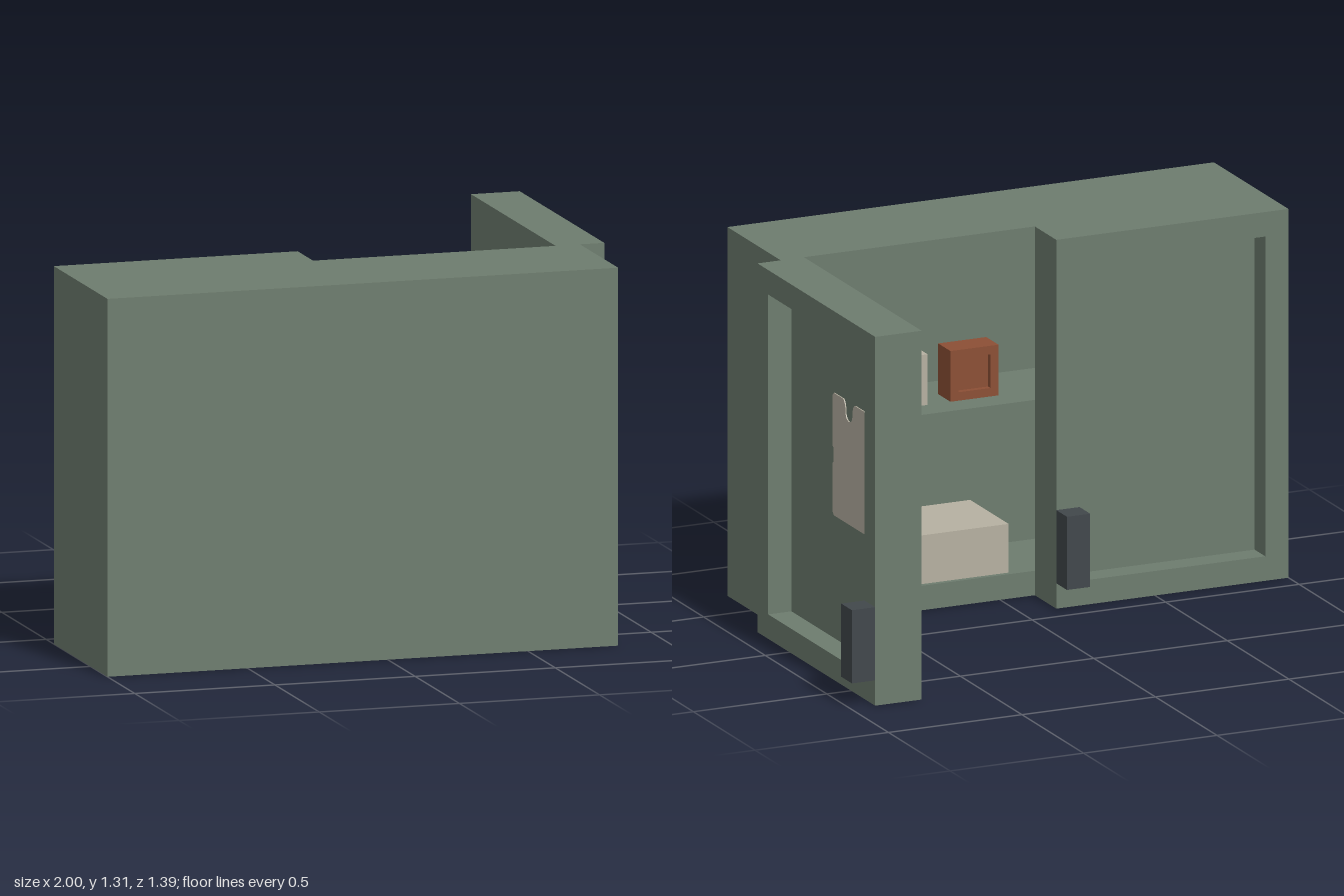
import * as THREE from 'three';

const H = 1.31, T = 0.087; // cabinet height, board thickness

export function createModel() {
  const root = new THREE.Group();
  root.name = 'cabinet';
  const mat = (name, color) => new THREE.MeshStandardMaterial({ name, color });
  const green = mat('sage green', 0x6d7c6e);
  const dark = mat('charcoal', 0x41474b);
  const beige = mat('warm beige', 0xb6b0a1);
  const rust = mat('rust brown', 0x8c4f35);

  const add = (parent, name, geo, material) => {
    const m = new THREE.Mesh(geo, material);
    m.name = name;
    parent.add(m);
    return m;
  };
  // Box given by its minimum and maximum corners
  const box = (parent, name, a, b, material) => {
    const g = new THREE.BoxGeometry(b[0] - a[0], b[1] - a[1], b[2] - a[2]);
    g.translate((a[0] + b[0]) / 2, (a[1] + b[1]) / 2, (a[2] + b[2]) / 2);
    return add(parent, name, g, material);
  };
  const rect = (path, x0, y0, x1, y1) =>
    path.moveTo(x0, y0).lineTo(x1, y0).lineTo(x1, y1).lineTo(x0, y1).closePath();
  // Rectangular frame in the xy plane, from z = 0 to the given depth
  const frame = (w, h, bx, by, depth) => {
    const s = rect(new THREE.Shape(), 0, 0, w, h);
    s.holes.push(rect(new THREE.Path(), bx, by, w - bx, h - by));
    return new THREE.ExtrudeGeometry(s, { depth, bevelEnabled: false });
  };

  // Carcass, open towards the back (-z)
  const carcass = new THREE.Group();
  carcass.name = 'carcass';
  root.add(carcass);
  add(carcass, 'walls', frame(1.822, H, T, T, 0.343), green).position.set(-1, 0, 0.26);
  box(carcass, 'backPanel', [-1, 0, 0.603], [0.822, H, 0.692], green);
  box(carcass, 'shelf', [-0.913, 0.607, 0.26], [0.735, 0.694, 0.603], green);

  // Door: flat inside, recessed panel outside, block handle; outside faces local +z
  const makeDoor = (name, w, handleX) => {
    const d = new THREE.Group();
    d.name = name;
    box(d, 'doorPanel', [0, 0, 0], [w, H, T], green);
    add(d, 'doorFrame', frame(w, H, T, T, T), green).position.z = T;
    box(d, 'handle', [handleX, 0.09, 2 * T], [handleX + T, 0.35, 0.261], dark);
    root.add(d);
    return d;
  };
  const closed = makeDoor('closedDoor', 0.87, 0);
  closed.rotation.y = Math.PI;
  closed.position.set(-0.13, 0, 0.26);
  const open = makeDoor('openDoor', 0.955, 0.955 - T);
  open.rotation.y = Math.PI / 2;
  open.position.set(0.735, 0, 0.26);

  // Notched paper tag on both sides of the open door (local x runs along -z)
  const tag = new THREE.Shape();
  tag.moveTo(0.44, 0.525).lineTo(0.685, 0.525).lineTo(0.695, 0.535);
  tag.lineTo(0.695, 0.71).lineTo(0.688, 0.715).lineTo(0.688, 0.765).lineTo(0.695, 0.77);
  tag.lineTo(0.695, 0.95).lineTo(0.685, 0.96).lineTo(0.61, 0.96);
  tag.quadraticCurveTo(0.592, 0.955, 0.59, 0.918);
  tag.absarc(0.562, 0.918, 0.028, 0, Math.PI, true);
  tag.quadraticCurveTo(0.532, 0.955, 0.514, 0.96);
  tag.lineTo(0.44, 0.96).lineTo(0.43, 0.95).lineTo(0.43, 0.77).lineTo(0.437, 0.765);
  tag.lineTo(0.437, 0.715).lineTo(0.43, 0.71).lineTo(0.43, 0.535).closePath();
  const tagGeo = new THREE.ExtrudeGeometry(tag, { depth: 0.004, bevelEnabled: false, curveSegments: 8 });
  for (const z of [T, -0.004]) add(open, 'tag', tagGeo, beige).position.z = z;

  // Hinge plates on both faces of the side wall (shape x runs along -z)
  const plate = new THREE.Shape();
  plate.moveTo(0, 0).lineTo(0, 0.16).lineTo(-0.052, 0.16);
  plate.quadraticCurveTo(-0.085, 0.16, -0.085, 0.127).lineTo(-0.085, 0.033);
  plate.quadraticCurveTo(-0.085, 0, -0.052, 0).closePath();
  const plateGeo = new THREE.ExtrudeGeometry(plate, { depth: 0.004, bevelEnabled: false, curveSegments: 6 });
  plateGeo.rotateY(Math.PI / 2);
  for (const y of [0.1, 1.05])
    for (const x of [0.731, 0.822]) add(root, 'hingePlate', plateGeo, dark).position.set(x, y, 0.26);

  // Things on the shelves
  const goods = new THREE.Group();
  goods.name = 'contents';
  root.add(goods);
  const dispenser = add(goods, 'openBoxSides', frame(0.26, 0.25, 0.09, 0.075, 0.12), beige);
  dispenser.rotation.x = -Math.PI / 2;
  dispenser.position.set(0.388, 0.135, 0.521);
  box(goods, 'openBoxBase', [0.388, T, 0.271], [0.648, 0.135, 0.521], beige);
  box(goods, 'largeBox', [-0.04, T, 0.278], [0.312, 0.26, 0.59], beige);
  box(goods, 'jarBody', [0.396, 0.694, 0.364], [0.57, 0.874, 0.494], beige);
  box(goods, 'jarTop', [0.367 + 0.07, 0.874, 0.39], [0.367 + 0.15, 0.98, 0.47], beige).position.x = -0.04;
  box(goods, 'slimBox', [0.226, 0.694, 0.359], [0.306, 0.874, 0.439], beige);

  // Small rust box with a recessed face
  box(goods, 'rustBox', [-0.04, 0.694, 0.38], [0.14, 0.874, 0.46], rust);
  add(goods, 'rustBoxRim', frame(0.18, 0.18, 0.03, 0.03, 0.02), rust).position.set(-0.04, 0.694, 0.36);

  return root;
}
